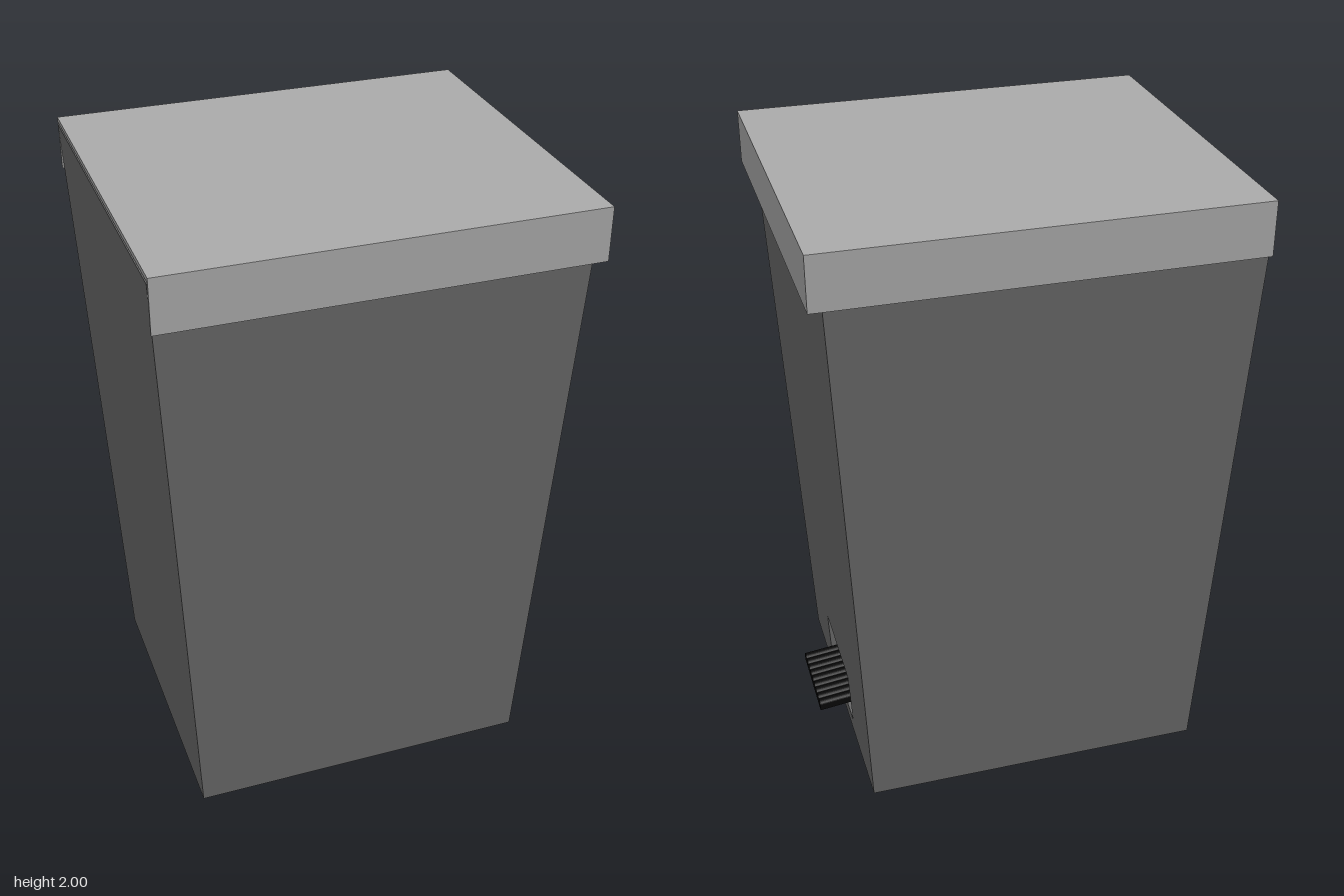
import * as THREE from 'three';

const bodyMat = new THREE.MeshStandardMaterial({ color: 0x696969, side: THREE.DoubleSide, flatShading: true });
const lidMat = new THREE.MeshStandardMaterial({ color: 0xaaaaaa });
const pedalMat = new THREE.MeshStandardMaterial({ color: 0x080808 });

// Sloping walls of the bin as functions of height
const xLeft = y => -0.577 - 0.049 * y;
const xRight = y => 0.54 + 0.049 * y;
const zHalf = y => 0.493 + 0.0465 * y;
const TOP = 1.98;

// Rectangular section at height y, inset by t, counter-clockwise from above
const ring = (y, t = 0) => [
  [xLeft(y) + t, y, zHalf(y) - t], [xRight(y) - t, y, zHalf(y) - t],
  [xRight(y) - t, y, -zHalf(y) + t], [xLeft(y) + t, y, -zHalf(y) + t]
];

function quads(list) {
  const pos = [];
  for (const [a, b, c, d] of list) pos.push(...a, ...b, ...c, ...a, ...c, ...d);
  const g = new THREE.BufferGeometry();
  g.setAttribute('position', new THREE.Float32BufferAttribute(pos, 3));
  g.computeVertexNormals();
  return g;
}

function add(group, name, geometry, material) {
  const mesh = new THREE.Mesh(geometry, material);
  mesh.name = name;
  group.add(mesh);
  return mesh;
}

function box(group, name, x0, x1, y0, y1, z0, z1) {
  const mesh = add(group, name, new THREE.BoxGeometry(x1 - x0, y1 - y0, z1 - z0), lidMat);
  mesh.position.set((x0 + x1) / 2, (y0 + y1) / 2, (z0 + z1) / 2);
}

function makeBody() {
  const g = new THREE.Group();
  g.name = 'body';

  // Tapered shell: outside, rim, inside; the pedal side is made separately
  const rings = [ring(0), ring(TOP), ring(TOP, 0.02), ring(0.03, 0.02)];
  const faces = [];
  for (let r = 0; r < 3; r++) {
    for (let i = 0; i < 4; i++) {
      if (i === 1 && r !== 1) continue;
      const j = (i + 1) % 4;
      faces.push([rings[r][i], rings[r][j], rings[r + 1][j], rings[r + 1][i]]);
    }
  }
  faces.push([...rings[0]].reverse());
  add(g, 'shell', quads(faces), bodyMat);

  // Pedal side: trapezoid with an opening, leaned onto the slope
  const w = 0.18, y0 = 0.06, y1 = 0.245;
  const shape = new THREE.Shape([
    [-zHalf(0), 0], [zHalf(0), 0], [zHalf(TOP), TOP], [-zHalf(TOP), TOP]
  ].map(p => new THREE.Vector2(...p)));
  shape.holes.push(new THREE.Path([[-w, y0], [-w, y1], [w, y1], [w, y0]].map(p => new THREE.Vector2(...p))));
  const panel = new THREE.ShapeGeometry(shape).rotateY(Math.PI / 2);
  const p = panel.attributes.position;
  for (let i = 0; i < p.count; i++) p.setX(i, xRight(p.getY(i)));
  panel.computeVertexNormals();
  add(g, 'pedalSide', panel, bodyMat);

  // Pocket behind the opening
  const corners = [[y0, w], [y0, -w], [y1, -w], [y1, w]];
  const outer = corners.map(([y, z]) => [xRight(y), y, z]);
  const inner = corners.map(([y, z]) => [0.42, y, z]);
  const pocket = [inner];
  for (let i = 0; i < 4; i++) {
    const j = (i + 1) % 4;
    pocket.push([outer[j], outer[i], inner[i], inner[j]]);
  }
  add(g, 'pedalRecess', quads(pocket), bodyMat);
  return g;
}

function makeLid() {
  const g = new THREE.Group();
  g.name = 'lid';
  const X = 0.672, Z = 0.593, y0 = 1.83, t = 0.008;
  // Cap with three skirts; the hinge side stays open
  box(g, 'lidTop', -X, X, 1.985, 2, -Z, Z);
  box(g, 'lidFront', -X, X, y0, 1.985, Z - t, Z);
  box(g, 'lidBack', -X, X, y0, 1.985, -Z, -Z + t);
  box(g, 'lidPedalSide', X - t, X, y0, 1.985, -Z + t, Z - t);
  return g;
}

function makePedal() {
  // Ribbed cross-section pushed along x, rising towards the bin
  const half = 0.147, ribs = 9, r = half / ribs, top = 0.118;
  const s = new THREE.Shape();
  s.moveTo(-half, 0.098);
  s.lineTo(half, 0.098);
  s.lineTo(half, top);
  for (let i = 0; i < ribs; i++) {
    s.absellipse(half - r * (2 * i + 1), top, r, 0.012, 0, Math.PI, false);
  }
  s.closePath();
  const x0 = 0.42, x1 = 0.648;
  const geo = new THREE.ExtrudeGeometry(s, { depth: x1 - x0, bevelEnabled: false, curveSegments: 6 });
  geo.rotateY(Math.PI / 2).translate(x0, 0, 0);
  const p = geo.attributes.position;
  for (let i = 0; i < p.count; i++) p.setY(i, p.getY(i) + (x1 - p.getX(i)) * 0.12);
  geo.computeVertexNormals();
  const mesh = new THREE.Mesh(geo, pedalMat);
  mesh.name = 'pedal';
  return mesh;
}

export function createModel() {
  const model = new THREE.Group();
  model.name = 'pedalBin';
  model.add(makeBody(), makeLid(), makePedal());
  return model;
}
